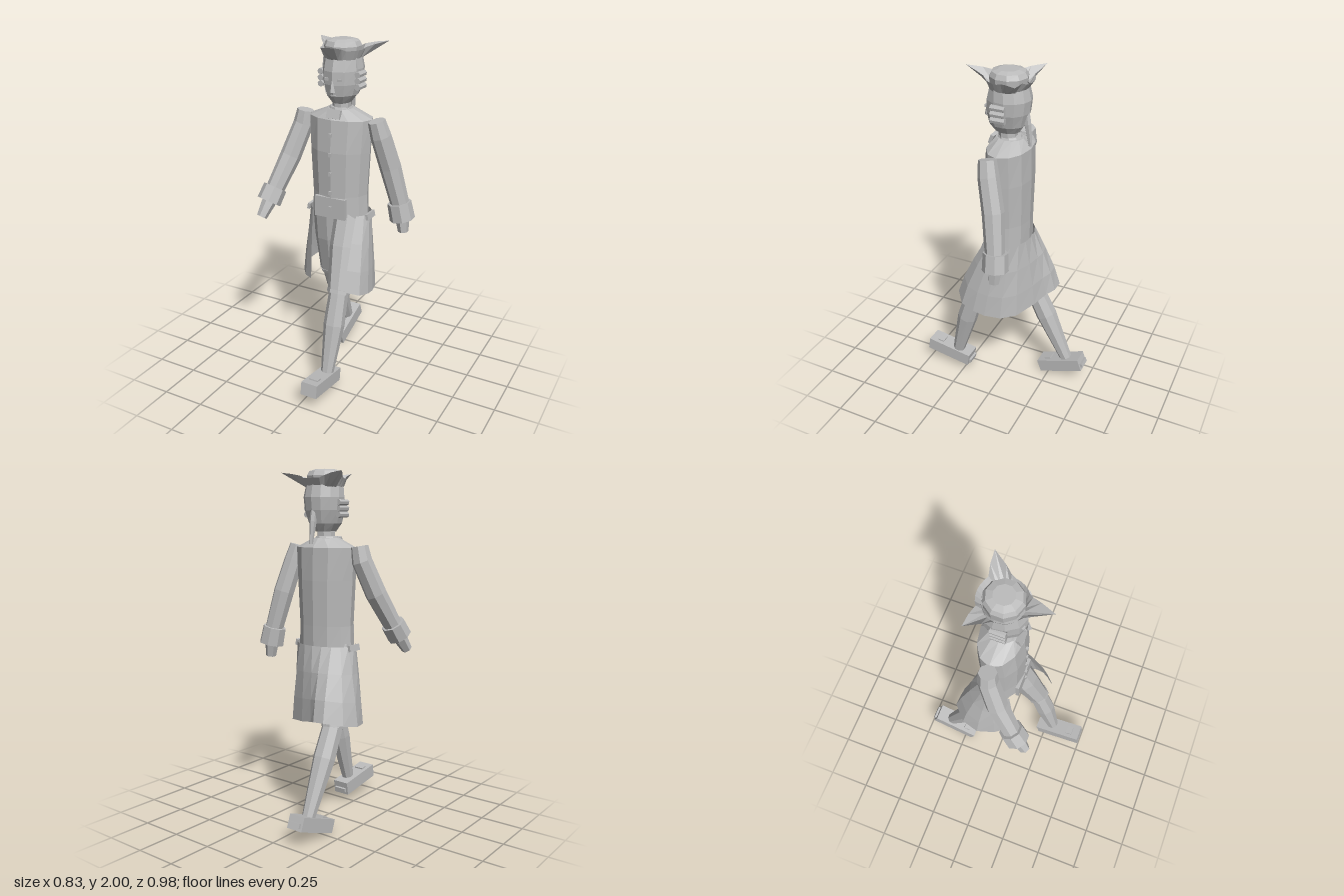
import * as THREE from 'three';

const grey = new THREE.MeshStandardMaterial({ color: 0xbcbcbc, flatShading: true, side: THREE.DoubleSide });
grey.name = 'plain grey';

// Skin a list of cross-sections; open sections make sheets, closed ones get end caps.
function loft(rings, closed = true) {
  const n = rings[0].length, pos = [], idx = [];
  rings.forEach(r => r.forEach(p => pos.push(...p)));
  for (let i = 0; i < rings.length - 1; i++) {
    for (let j = 0; j < (closed ? n : n - 1); j++) {
      const k = (j + 1) % n, a = i * n + j, b = i * n + k;
      idx.push(a, b, b + n, a, b + n, a + n);
    }
  }
  if (closed) {
    const last = (rings.length - 1) * n;
    for (let j = 1; j < n - 1; j++) idx.push(0, j + 1, j, last, last + j, last + j + 1);
  }
  const g = new THREE.BufferGeometry();
  g.setAttribute('position', new THREE.Float32BufferAttribute(pos, 3));
  g.setIndex(idx);
  const flat = g.toNonIndexed();
  flat.computeVertexNormals();
  return flat;
}

// Horizontal oval section: height, half width, front z, back z.
function oval(y, a, front, back, n = 12, cx = 0, from = 0, to = Math.PI * 2, open = false) {
  return Array.from({ length: n }, (_, i) => {
    const t = from + (to - from) * i / (open ? n - 1 : n);
    return [cx + a * Math.sin(t), y, (front + back) / 2 + (front - back) / 2 * Math.cos(t)];
  });
}

// Round limb through stations [x, y, z, radius].
function limb(stations, sides = 8) {
  const pts = stations.map(s => new THREE.Vector3(s[0], s[1], s[2]));
  return loft(stations.map((s, i) => {
    const dir = pts[Math.min(i + 1, pts.length - 1)].clone().sub(pts[Math.max(i - 1, 0)]).normalize();
    const u = new THREE.Vector3().crossVectors(dir, new THREE.Vector3(0, 0, 1)).normalize();
    const v = new THREE.Vector3().crossVectors(dir, u);
    return Array.from({ length: sides }, (_, j) => {
      const t = (j + 0.5) / sides * Math.PI * 2;
      return pts[i].clone().addScaledVector(u, s[3] * Math.cos(t)).addScaledVector(v, s[3] * Math.sin(t)).toArray();
    });
  }));
}

export function createModel() {
  const model = new THREE.Group();
  const add = (name, geometry, parent = model) => {
    const m = new THREE.Mesh(geometry, grey);
    m.name = name;
    parent.add(m);
    return m;
  };
  const box = (name, w, h, d, x, y, z, parent) => {
    const m = add(name, new THREE.BoxGeometry(w, h, d), parent);
    m.position.set(x, y, z);
    return m;
  };

  // Coat body and sloping shoulders
  add('coatBody', loft([
    oval(1.02, 0.17, 0.1, -0.145), oval(1.15, 0.165, 0.1, -0.145), oval(1.4, 0.178, 0.105, -0.15),
    oval(1.58, 0.187, 0.09, -0.145), oval(1.63, 0.07, 0.055, -0.1),
  ]));
  box('waistcoatHem', 0.19, 0.12, 0.02, -0.005, 1.08, 0.093);
  for (const y of [1.5, 1.39, 1.28, 1.17, 1.08]) box('button', 0.016, 0.02, 0.014, 0, y, 0.106);

  // Coat skirt, open at the front and swinging with the stride
  const hem = [
    [0.16, 0.65, 0.235], [0.225, 0.62, 0.18], [0.24, 0.6, 0.1], [0.235, 0.585, 0.03], [0.21, 0.577, -0.06],
    [0.16, 0.59, -0.14], [0.04, 0.61, -0.2], [-0.05, 0.63, -0.235], [-0.1, 0.645, -0.272], [-0.17, 0.65, -0.275],
    [-0.25, 0.63, -0.2], [-0.274, 0.61, -0.1], [-0.24, 0.6, 0], [-0.2, 0.59, 0.05], [-0.14, 0.6, 0.09],
  ];
  const waist = oval(1.04, 0.185, 0.105, -0.155, hem.length, 0, 0.85, Math.PI * 2 - 0.85, true);
  const skirtRings = [0, 0.3, 0.65, 1].map(t => hem.map((p, j) => p.map((v, k) => {
    const s = k === 1 ? t : Math.pow(t, 1.25);
    return v + (waist[j][k] - v) * s;
  })));
  add('coatSkirt', loft(skirtRings, false));
  for (const s of [-1, 1]) {
    const flap = box('pocketFlap', 0.015, 0.035, 0.09, s * 0.188, 1.03, -0.02);
    flap.rotation.z = s * 0.2;
  }

  // Arms, turned-back cuffs and hands
  const arms = [
    { side: 'left', sleeve: [[0.225, 1.585, 0, 0.048], [0.245, 1.5, -0.015, 0.057], [0.285, 1.32, -0.06, 0.06], [0.345, 1.06, -0.1, 0.052]],
      cuff: [[0.33, 1.11, -0.095, 0.068], [0.35, 1.01, -0.102, 0.072]],
      hand: [[0.348, 1.03, -0.1, 0.042], [0.36, 0.935, -0.098, 0.03]] },
    { side: 'right', sleeve: [[-0.222, 1.59, -0.02, 0.048], [-0.235, 1.51, -0.015, 0.057], [-0.285, 1.33, 0.05, 0.06], [-0.34, 1.13, 0.16, 0.052]],
      cuff: [[-0.335, 1.16, 0.145, 0.068], [-0.352, 1.085, 0.19, 0.07]],
      hand: [[-0.35, 1.09, 0.185, 0.042], [-0.37, 1.005, 0.242, 0.03]] },
  ];
  for (const a of arms) {
    add(a.side + 'Sleeve', limb(a.sleeve));
    add(a.side + 'Cuff', limb(a.cuff));
    add(a.side + 'Hand', limb(a.hand, 6));
  }

  // Legs: breeches, knee band and stocking, with block shoes
  const legs = [
    { side: 'left', thigh: [[0.065, 1.04, 0, 0.08], [0.07, 0.85, 0.075, 0.08], [0.087, 0.6, 0.17, 0.062]],
      calf: [[0.087, 0.62, 0.162, 0.055], [0.086, 0.42, 0.22, 0.061], [0.08, 0.14, 0.293, 0.037]],
      shoe: [0.07, 0.106, 0.351, -0.155] },
    { side: 'right', thigh: [[-0.085, 1.04, -0.02, 0.085], [-0.1, 0.85, -0.06, 0.082], [-0.125, 0.59, -0.13, 0.066]],
      calf: [[-0.125, 0.62, -0.12, 0.058], [-0.128, 0.43, -0.212, 0.063], [-0.13, 0.13, -0.355, 0.037]],
      shoe: [-0.13, 0.087, -0.328, 0.36] },
  ];
  for (const l of legs) {
    add(l.side + 'Breeches', limb(l.thigh));
    add(l.side + 'Stocking', limb(l.calf));
    const knee = l.thigh[2];
    add(l.side + 'KneeBand', limb([[knee[0], knee[1] + 0.02, knee[2] - Math.sign(knee[2]) * 0.008, 0.067], [...knee.slice(0, 3), 0.067]]));
    const shoe = new THREE.Group();
    shoe.name = l.side + 'Shoe';
    shoe.position.set(l.shoe[0], l.shoe[1], l.shoe[2]);
    shoe.rotation.x = l.shoe[3];
    box('shoeBlock', 0.1, 0.078, 0.285, 0, 0, 0, shoe);
    box('buckle', 0.055, 0.01, 0.04, 0, 0.042, 0.075, shoe);
    box('heelTab', 0.075, 0.025, 0.016, 0, -0.01, -0.148, shoe);
    model.add(shoe);
  }

  // Neck, collar and cravat
  const cx = 0.012, cz = -0.02;
  add('neck', limb([[0.008, 1.58, -0.015, 0.052], [0.01, 1.7, -0.015, 0.05]]));
  add('collar', loft([oval(1.59, 0.085, 0.06, -0.11, 10), oval(1.64, 0.058, 0.045, -0.085, 10)]));
  const cravat = box('cravat', 0.08, 0.05, 0.02, 0.005, 1.61, 0.07);
  cravat.rotation.x = -0.35;

  // Head and face
  add('head', loft([
    oval(1.665, 0.05, 0.055, -0.08, 10, cx), oval(1.71, 0.083, 0.088, -0.11, 10, cx), oval(1.77, 0.1, 0.1, -0.13, 10, cx),
    oval(1.84, 0.105, 0.1, -0.135, 10, cx), oval(1.92, 0.095, 0.08, -0.12, 10, cx),
  ]));
  for (const s of [-1, 1]) box('eye', 0.022, 0.014, 0.014, cx + s * 0.037, 1.8, 0.09);
  const nose = add('nose', new THREE.CylinderGeometry(0.004, 0.018, 0.06, 4));
  nose.position.set(cx, 1.765, 0.102);
  box('mouth', 0.03, 0.007, 0.01, cx, 1.715, 0.086);

  // Hair: back shell, side rolls and tied queue
  add('hair', loft([[1.71, 0.088, -0.118], [1.78, 0.108, -0.137], [1.85, 0.113, -0.145], [1.92, 0.102, -0.13]].map(
    ([y, a, back]) => oval(y, a, 0.09, back, 9, cx, 1.2, Math.PI * 2 - 1.2, true)), false));
  for (const s of [-1, 1]) {
    for (const y of [1.757, 1.79, 1.823]) {
      const roll = add('hairRoll', new THREE.CylinderGeometry(0.017, 0.017, 0.08, 7));
      roll.rotation.x = Math.PI / 2;
      roll.position.set(cx + s * 0.111, y, -0.01);
    }
  }
  add('queue', limb([[cx, 1.84, -0.11, 0.018], [cx, 1.72, -0.128, 0.02], [cx, 1.6, -0.145, 0.01]], 6));

  // Three-cornered hat: tapered crown and a brim folded up into three spouts
  add('hatCrown', loft([
    oval(1.89, 0.095, 0.075, -0.115, 10, cx), oval(1.965, 0.102, 0.083, -0.125, 10, cx),
    oval(1.99, 0.09, 0.07, -0.11, 10, cx), oval(2.0, 0.055, 0.035, -0.075, 10, cx),
  ]));
  const inner = [], outer = [];
  const spouts = [[0, 0.245], [2.12, 0.257], [Math.PI * 2 - 2.12, 0.25]];
  for (let i = 0; i < 30; i++) {
    const t = i / 30 * Math.PI * 2;
    let r = 0.12, y = 1.95, angle = t;
    for (const [at, reach] of spouts) {
      const d = Math.abs(Math.atan2(Math.sin(t - at), Math.cos(t - at)));
      const w = Math.max(0, 1 - d / 0.62);
      if (w > 0) {
        r += (reach - 0.12) * Math.pow(w, 2.2);
        y += 0.035 * w;
        if (d < 0.11) angle = at;
      }
    }
    if (t > 2.6 && t < 3.7) r = 0.135;
    inner.push([cx + 0.1 * Math.sin(t), 1.9, cz + 0.1 * Math.cos(t)]);
    outer.push([cx + r * Math.sin(angle), y, cz + r * Math.cos(angle)]);
  }
  add('hatBrim', loft([[...inner, inner[0]], [...outer, outer[0]]], false));

  return model;
}
